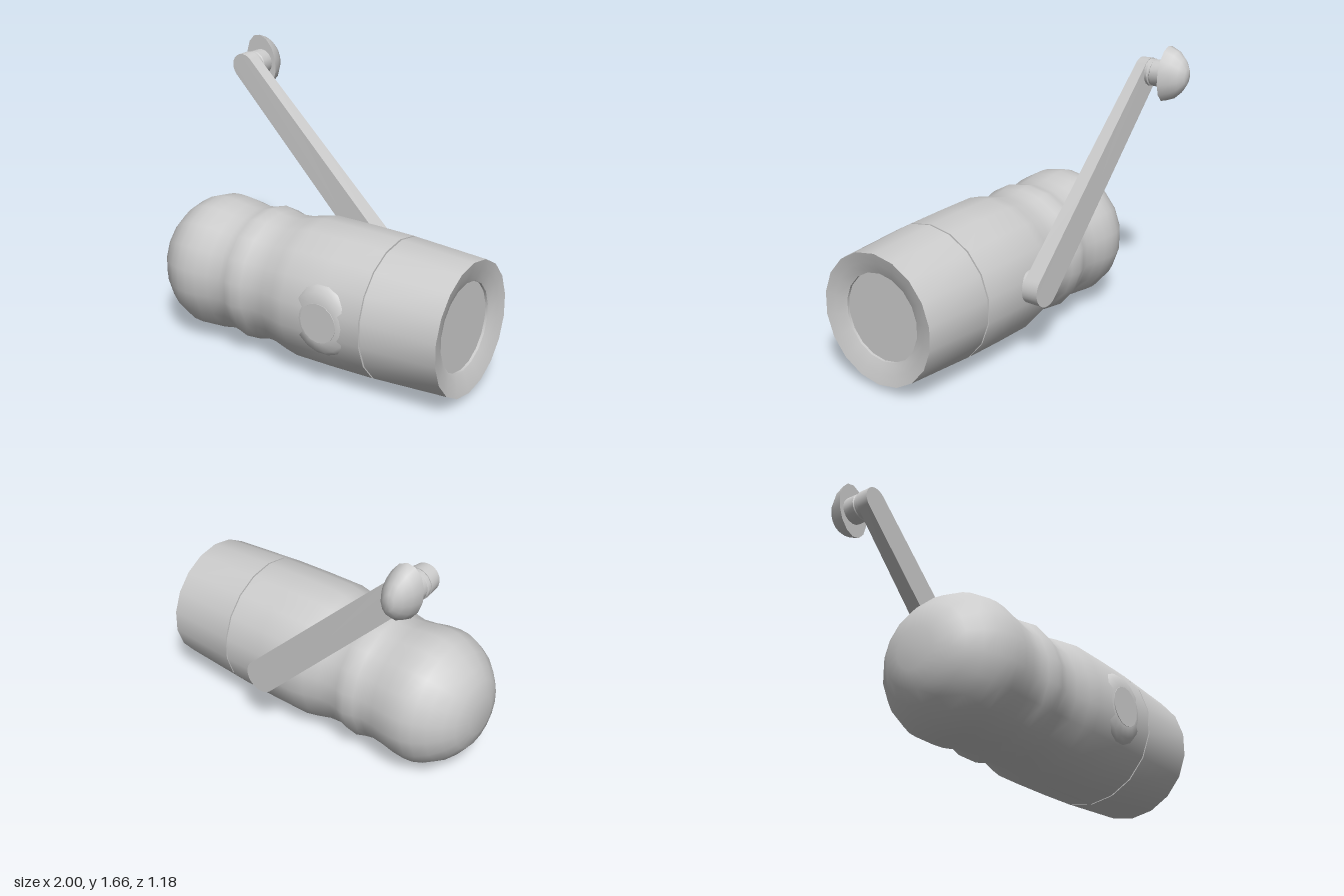
import * as THREE from 'three';
import { toCreasedNormals } from 'three/addons/utils/BufferGeometryUtils.js';

const material = new THREE.MeshStandardMaterial({ color: 0xcccccc });
const AXIS_Y = 0.425, AXIS_Z = 0.17;

function addMesh(parent, name, geometry, crease = 0.75) {
  const mesh = new THREE.Mesh(toCreasedNormals(geometry, crease), material);
  mesh.name = name;
  parent.add(mesh);
  return mesh;
}

// Revolve [along, radius] pairs around the x or z axis
function revolve(profile, sides, axis) {
  const points = profile.map(([h, r]) => new THREE.Vector2(r, h));
  const geometry = new THREE.LatheGeometry(points, sides, Math.PI / 2);
  return axis === 'x' ? geometry.rotateZ(-Math.PI / 2) : geometry.rotateX(Math.PI / 2);
}

// Tapered arm with rounded ends, pivot end wider and thicker than the tip
function armGeometry(pivot, tip) {
  const length = pivot.distanceTo(tip);
  const r0 = 0.1, r1 = 0.085;
  const shape = new THREE.Shape();
  shape.absarc(0, 0, r0, Math.PI / 2, Math.PI * 1.5, false);
  shape.absarc(length, 0, r1, -Math.PI / 2, Math.PI / 2, false);
  shape.closePath();
  const geometry = new THREE.ExtrudeGeometry(shape, { depth: 1, bevelEnabled: false, curveSegments: 8 });
  const p = geometry.attributes.position;
  for (let i = 0; i < p.count; i++) {
    const t = THREE.MathUtils.clamp(p.getX(i) / length, 0, 1);
    const back = THREE.MathUtils.lerp(-0.355, -0.34, t);
    const front = THREE.MathUtils.lerp(-0.25, -0.268, t);
    const isFront = p.getZ(i) > 0.5;
    p.setZ(i, isFront ? front : back);
    if (isFront) p.setY(i, p.getY(i) * 0.9);
  }
  geometry.rotateZ(Math.atan2(tip.y - pivot.y, tip.x - pivot.x));
  return geometry.translate(pivot.x, pivot.y, 0);
}

export function createModel() {
  const model = new THREE.Group();
  model.name = 'crankTorch';

  // Grip and barrel, one revolved skin with finger swells
  const body = new THREE.Group();
  body.name = 'body';
  body.position.set(0, AXIS_Y, AXIS_Z);
  model.add(body);
  addMesh(body, 'grip', revolve([
    [-1, 0], [-1, 0.115], [-0.97, 0.21], [-0.925, 0.273], [-0.86, 0.337], [-0.79, 0.38],
    [-0.73, 0.4], [-0.67, 0.405], [-0.6, 0.4], [-0.52, 0.385], [-0.44, 0.377],
    [-0.39, 0.386], [-0.33, 0.403], [-0.27, 0.388], [-0.21, 0.377], [-0.13, 0.382],
    [-0.04, 0.405], [0.04, 0.42], [0.3, 0.418], [0.545, 0.412], [0.545, 0.39],
  ], 18, 'x'));
  addMesh(body, 'seam', revolve([[0.54, 0.4], [0.56, 0.4]], 18, 'x'));

  // Head with a dished rim and recessed lens
  addMesh(body, 'head', revolve([
    [0.555, 0.39], [0.555, 0.411], [1, 0.384], [0.985, 0.325], [0.965, 0.27], [0.96, 0.258], [0.93, 0.258],
  ], 18, 'x'));
  addMesh(body, 'lens', revolve([[0.93, 0.262], [0.945, 0.258], [0.945, 0]], 18, 'x'));

  // Push button on its raised pad
  const pad = addMesh(model, 'buttonPad', revolve([
    [0.49, 0.23], [0.545, 0.2], [0.57, 0.175], [0.585, 0.12], [0.585, 0],
  ], 18, 'z'));
  const button = addMesh(model, 'button', revolve([[0.55, 0.115], [0.588, 0.115], [0.588, 0]], 16, 'z'));
  for (const part of [pad, button]) part.position.set(0.29, AXIS_Y + 0.003, 0);

  // Crank arm and its hub on the barrel
  const pivot = new THREE.Vector2(0.175, 0.455);
  const tip = new THREE.Vector2(-0.872, 1.5);
  const crank = new THREE.Group();
  crank.name = 'crank';
  model.add(crank);
  addMesh(crank, 'arm', armGeometry(pivot, tip));
  addMesh(crank, 'hub', revolve([[-0.3, 0], [-0.3, 0.088], [-0.2, 0.088], [-0.2, 0]], 16, 'z'))
    .position.set(pivot.x, pivot.y, 0);

  // Stem with a thin groove
  addMesh(crank, 'stem', revolve([
    [-0.46, 0.08], [-0.375, 0.08], [-0.37, 0.075], [-0.362, 0.075], [-0.357, 0.082], [-0.32, 0.082],
  ], 16, 'z')).position.set(tip.x, tip.y, 0);

  // Oval domed knob, flat on the side facing the arm
  const knob = addMesh(crank, 'knob', revolve([
    [-0.588, 0], [-0.585, 0.3], [-0.555, 0.6], [-0.51, 0.85], [-0.447, 1], [-0.447, 0],
  ], 14, 'z').scale(0.108, 0.166, 1));
  knob.rotation.z = 0.2;
  knob.position.set(-0.873, 1.505, 0);

  return model;
}
